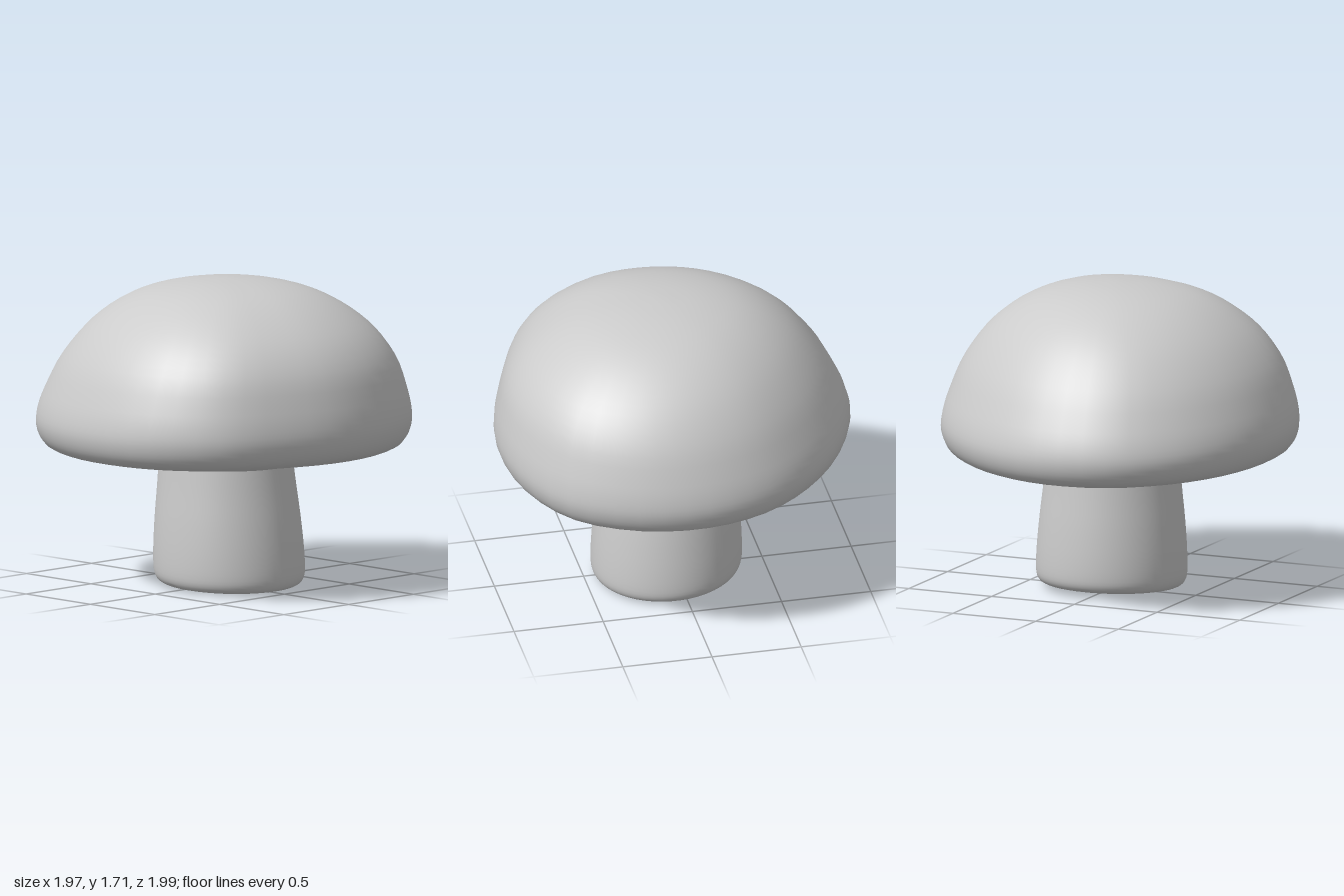
import * as THREE from 'three';
import { toCreasedNormals } from 'three/addons/utils/BufferGeometryUtils.js';

const material = new THREE.MeshStandardMaterial({ color: 0xcccccc });
const SEGMENTS = 48;

// Smooth profile through [radius, height] pairs
const smooth = (pairs, n) =>
  new THREE.SplineCurve(pairs.map(([r, y]) => new THREE.Vector2(r, y))).getPoints(n);

// Lathe a profile (inside-bottom to top), then bend every vertex by a rule
function turned(name, profile, bend) {
  const points = profile.map((p) => new THREE.Vector2(Math.max(p.x, 0), p.y));
  const geometry = new THREE.LatheGeometry(points, SEGMENTS);
  const pos = geometry.attributes.position;
  const v = new THREE.Vector3();
  for (let i = 0; i < pos.count; i++) {
    v.fromBufferAttribute(pos, i);
    bend(v);
    pos.setXYZ(i, v.x, v.y, v.z);
  }
  geometry.deleteAttribute('uv');
  const mesh = new THREE.Mesh(toCreasedNormals(geometry, 0.6), material);
  mesh.name = name;
  return mesh;
}

// Uneven cap outline: radii every 22.5 degrees from +x towards +z
const capRadii = [0.975, 1.015, 1.05, 1.02, 0.99, 0.975, 1.02, 1.02,
  0.99, 0.99, 1.01, 1.03, 0.995, 0.945, 0.925, 0.945];
const capOutline = new THREE.CatmullRomCurve3(capRadii.map((r, i) => {
  const a = (i / capRadii.length) * Math.PI * 2;
  return new THREE.Vector3(r * Math.cos(a), 0, r * Math.sin(a));
}), true);

function bendCap(v) {
  const r = Math.hypot(v.x, v.z);
  const turn = (Math.atan2(v.z, v.x) / (Math.PI * 2) + 1) % 1;
  const rim = capOutline.getPoint(turn).multiplyScalar(r);
  // The crown leans forward and the back of the rim droops
  const lean = 0.055 * THREE.MathUtils.smoothstep(v.y, 0.85, 1.45);
  const droop = 1 - THREE.MathUtils.smoothstep(v.y, 1.0, 1.6);
  v.set(rim.x, v.y + droop * (0.014 * rim.z - 0.008 * rim.x), rim.z + lean);
}

export function createModel() {
  const group = new THREE.Group();
  group.name = 'mushroom';

  // Cap: hollow underside, rounded rim and dome in one skin
  const underside = smooth([[0.3, 0.84], [0.45, 0.85], [0.62, 0.86], [0.76, 0.835],
    [0.85, 0.785], [0.885, 0.757]], 16);
  const dome = smooth([[0.885, 0.757], [0.92, 0.77], [0.955, 0.795], [0.985, 0.845], [1, 0.915],
    [0.99, 1.0], [0.96, 1.1], [0.9, 1.25], [0.81, 1.385], [0.7, 1.495], [0.56, 1.59],
    [0.4, 1.657], [0.2, 1.698], [0, 1.71]], 36);
  group.add(turned('cap', [...underside, ...dome.slice(1)], bendCap));

  // Stem: tapering, set slightly off centre, with a slanted rounded foot
  const foot = smooth([[0.34, 0.0], [0.38, 0.008], [0.405, 0.035], [0.415, 0.09],
    [0.412, 0.22], [0.4, 0.38], [0.382, 0.55], [0.367, 0.7]], 24);
  group.add(turned('stem', [new THREE.Vector2(0, 0), ...foot], (v) => {
    const up = v.y / 0.7;
    const slant = Math.max(0, 1 - v.y / 0.3);
    v.y += slant * (0.017 - 0.04 * v.z + 0.01 * v.x);
    v.x += 0.03 - 0.015 * up;
    v.z += 0.045 - 0.015 * up;
  }));

  // Collar: flared ring joining the stem to the cap
  const flare = smooth([[0.365, 0.68], [0.41, 0.698], [0.445, 0.73], [0.458, 0.765],
    [0.458, 0.88]], 14);
  group.add(turned('collar', [new THREE.Vector2(0.3, 0.68), ...flare], (v) => {
    v.y -= 0.016 * v.x;
    v.x += 0.015;
    v.z += 0.025;
  }));

  return group;
}
